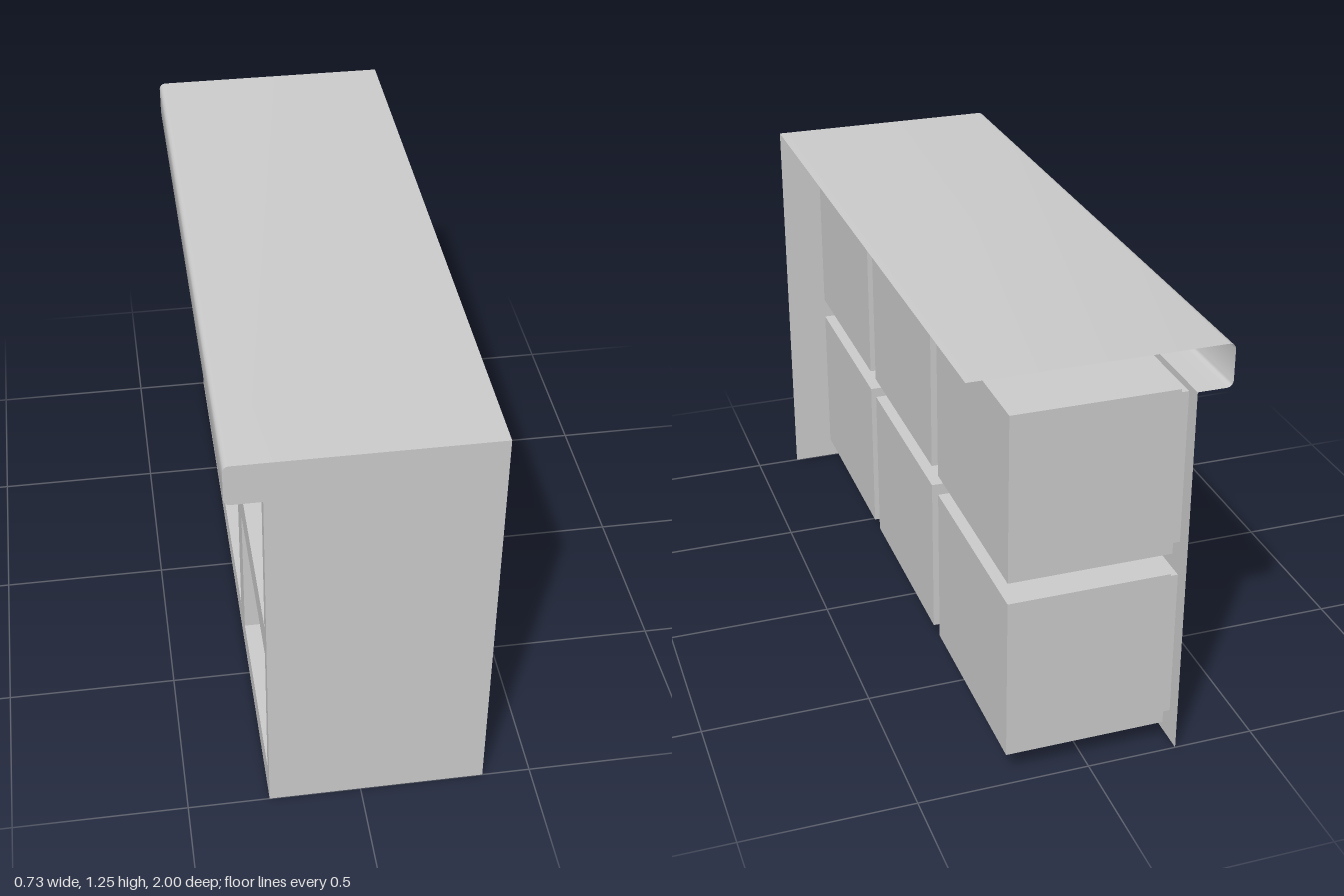
import * as THREE from 'three';
import { toCreasedNormals } from 'three/addons/utils/BufferGeometryUtils.js';

const BACK = 0.36, FACE = -0.265, LIP = -0.365;   // x of rear edge, face frame and lip
const TOP = 1.255, UNDER = 1.13, R = 0.018;       // y of worktop, lip underside; lip radius
const REVEAL = 0.03, INSET = 0.02, BOX_END = 0.235;
const BOX_W = 0.61, BOX_H = 0.495;

const material = new THREE.MeshStandardMaterial({ color: 0xcccccc, side: THREE.DoubleSide });

function add(group, name, geometry) {
  const mesh = new THREE.Mesh(geometry, material);
  mesh.name = name;
  group.add(mesh);
  return mesh;
}

// Worktop section, from the rear edge round the lip to the face frame
function worktopProfile() {
  const pts = [[BACK, TOP]];
  const arc = (cx, cy, start) => {
    for (let i = 0; i <= 4; i++) {
      const a = start + (i / 4) * Math.PI / 2;
      pts.push([cx + R * Math.cos(a), cy + R * Math.sin(a)]);
    }
  };
  arc(LIP + R, TOP - R, Math.PI / 2);
  arc(LIP + R, UNDER + R, Math.PI);
  pts.push([FACE, UNDER]);
  return pts;
}

// Sheet swept along z from the profile
function sweepSheet(profile) {
  const n = profile.length;
  const geo = new THREE.PlaneGeometry(1, 2, n - 1, 1);
  const pos = geo.attributes.position;
  for (let i = 0; i < pos.count; i++) {
    const [x, y] = profile[i % n];
    pos.setXYZ(i, x, y, pos.getY(i));
  }
  return toCreasedNormals(geo, 0.6);
}

function rectangle(PathType, u0, v0, u1, v1) {
  return new PathType([[u0, v0], [u1, v0], [u1, v1], [u0, v1]].map(p => new THREE.Vector2(...p)));
}

// Open-fronted box: reveal behind the frame, step outward, walls and closed rear
function cubbyGeometry() {
  const w = BOX_W / 2, h = BOX_H / 2;
  const ring = (x, a, b) => [[x, -b, -a], [x, -b, a], [x, b, a], [x, b, -a]];
  const rings = [
    ring(FACE, w - INSET, h - INSET),
    ring(FACE + REVEAL, w - INSET, h - INSET),
    ring(FACE + REVEAL, w, h),
    ring(BOX_END, w, h),
  ];
  const out = [];
  const quad = (a, b, c, d) => out.push(...a, ...b, ...c, ...a, ...c, ...d);
  for (let r = 0; r < rings.length - 1; r++) {
    for (let i = 0; i < 4; i++) {
      const j = (i + 1) % 4;
      quad(rings[r][i], rings[r + 1][i], rings[r + 1][j], rings[r][j]);
    }
  }
  quad(...rings[3].slice().reverse());
  const geo = new THREE.BufferGeometry();
  geo.setAttribute('position', new THREE.Float32BufferAttribute(out, 3));
  geo.computeVertexNormals();
  return geo;
}

export function createModel() {
  const model = new THREE.Group();
  model.name = 'shelfCounter';
  const profile = worktopProfile();

  add(model, 'worktop', sweepSheet(profile));

  // End panel, closing the lip as well
  const endShape = new THREE.Shape(
    [...profile, [FACE, 0], [BACK, 0]].map(p => new THREE.Vector2(...p)));
  add(model, 'endPanel', new THREE.ShapeGeometry(endShape)).position.z = 1;

  // Face frame with six openings, and a box behind each
  const frame = rectangle(THREE.Shape, -1, 0, 1, UNDER);
  const cubby = cubbyGeometry();
  for (const y of [0.3225, 0.8825]) {
    for (const z of [0.675, 0.005, -0.665]) {
      const w = BOX_W / 2 - INSET, h = BOX_H / 2 - INSET;
      frame.holes.push(rectangle(THREE.Path, z - w, y - h, z + w, y + h));
      add(model, 'cubbyBox', cubby).position.set(0, y, z);
    }
  }
  const frameGeo = new THREE.ShapeGeometry(frame).rotateY(-Math.PI / 2);
  add(model, 'faceFrame', frameGeo).position.x = FACE;

  return model;
}
